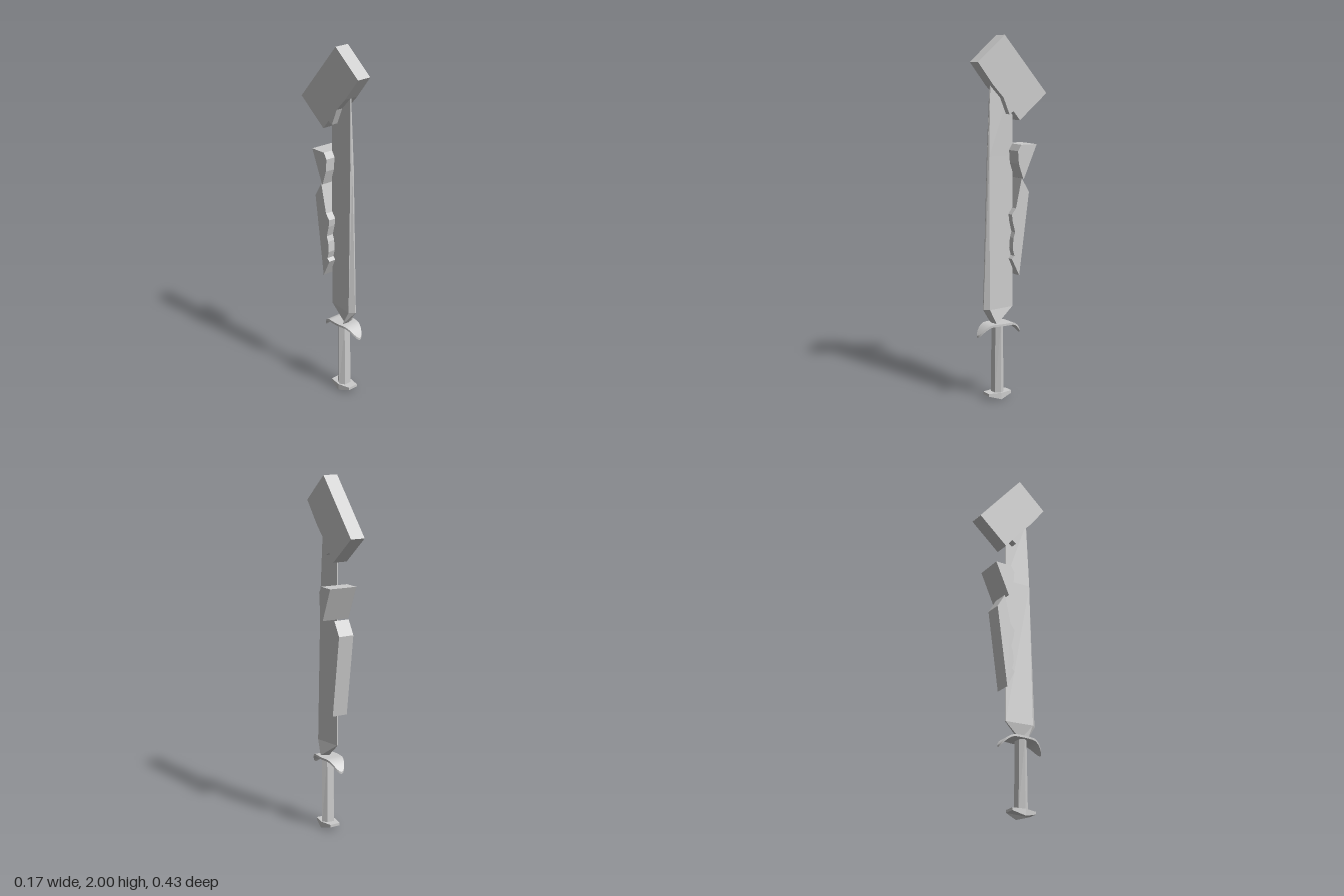
import * as THREE from 'three';

const MID_X = -0.02;   // centre plane of the sword
const GRIP_Z = 0.075;  // centre of grip and pommel

const material = new THREE.MeshStandardMaterial({ color: 0xcccccc, flatShading: true });
const smooth = new THREE.MeshStandardMaterial({ color: 0xcccccc });

function addMesh(group, name, geometry, mat = material) {
  const mesh = new THREE.Mesh(geometry, mat);
  mesh.name = name;
  group.add(mesh);
  return mesh;
}

// Skin a stack of rings (bottom to top, counter-clockwise seen from above) and cap both ends
function loft(rings) {
  const n = rings[0].length;
  const index = [];
  for (let i = 0; i < rings.length - 1; i++) {
    for (let j = 0; j < n; j++) {
      const a = i * n + j, b = i * n + (j + 1) % n;
      index.push(a, b, b + n, a, b + n, a + n);
    }
  }
  const top = (rings.length - 1) * n;
  for (let j = 1; j < n - 1; j++) {
    index.push(0, j + 1, j, top, top + j, top + j + 1);
  }
  const g = new THREE.BufferGeometry();
  g.setAttribute('position', new THREE.Float32BufferAttribute(rings.flat(2), 3));
  g.setIndex(index);
  const flat = g.toNonIndexed();
  flat.computeVertexNormals();
  return flat;
}

// Six-sided ring with two corners on the x axis; yAt gives the height from the z offset
function hexRing(halfX, faceX, halfZ, yAt) {
  return [[faceX, halfZ], [halfX, 0], [faceX, -halfZ], [-faceX, -halfZ], [-halfX, 0], [-faceX, halfZ]]
    .map(([x, z]) => [MID_X + x, yAt(z), GRIP_Z + z]);
}

// Side outline of [-z, y] points, extruded across x
function slab(outline, width) {
  const shape = new THREE.Shape(outline.map(([u, y]) => new THREE.Vector2(u, y)));
  const g = new THREE.ExtrudeGeometry(shape, { depth: width, bevelEnabled: false });
  g.translate(0, 0, -width / 2);
  g.rotateY(Math.PI / 2);
  return g;
}

export function createModel() {
  const group = new THREE.Group();
  group.name = 'brokenSword';

  // Blade: narrow front bevel, tapering to a thin back and towards the top
  const sections = [
    // y, front z, bevel z, back z, half thickness
    [0.425, 0.102, 0.098, 0.072, 0.035],
    [0.51, 0.164, 0.137, -0.022, 0.027],
    [1.35, 0.137, 0.131, -0.022, 0.013],
    [1.75, 0.119, 0.117, -0.022, 0.004],
  ];
  addMesh(group, 'blade', loft(sections.map(([y, front, bevel, back, t]) =>
    [[0.003, front], [t, bevel], [0.003, back], [-0.003, back], [-t, bevel], [-0.003, front]]
      .map(([x, z]) => [MID_X + x, y, z]))));

  // Guard: oval plate with both ends curling down
  const guard = new THREE.BoxGeometry(2, 0.012, 2, 8, 1, 24);
  const p = guard.attributes.position;
  for (let i = 0; i < p.count; i++) {
    const angle = p.getZ(i) * Math.PI / 2;
    const s = Math.sin(angle);
    const drop = 0.06 * Math.max(0, (Math.abs(s) - 0.4) / 0.6) ** 2;
    p.setXYZ(i,
      MID_X + p.getX(i) * 0.057 * Math.max(0.04, Math.cos(angle)),
      0.423 + p.getY(i) - drop,
      0.067 + 0.134 * s);
  }
  guard.computeVertexNormals();
  addMesh(group, 'guard', guard, smooth);

  // Grip and pommel: six-sided, the pommel ending in a shallow ridge
  addMesh(group, 'grip', loft([
    hexRing(0.04, 0.021, 0.029, () => 0.03),
    hexRing(0.04, 0.021, 0.024, () => 0.42),
  ]));
  addMesh(group, 'pommel', loft([
    hexRing(0.047, 0.03, 0.073, (z) => 0.022 * Math.abs(z) / 0.073),
    hexRing(0.047, 0.03, 0.073, () => 0.037),
  ]));

  // Block at the top, notched around the blade
  const head = addMesh(group, 'headBlock', slab([
    [-0.217, 1.857], [-0.122, 1.735], [-0.058, 1.667], [-0.021, 1.577],
    [0.005, 1.593], [0.046, 1.543], [0.217, 1.686], [-0.05, 2.0],
  ], 0.086));
  head.position.x = MID_X;

  // Chips broken off behind the blade, with ragged front edges
  const smallChip = addMesh(group, 'smallChip', slab([
    [0.021, 1.415], [0, 1.381], [0.005, 1.312], [0.032, 1.232], [0.037, 1.23], [0.117, 1.415],
  ], 0.162));
  smallChip.rotation.y = -0.035;

  const longChip = addMesh(group, 'longChip', slab([
    [0.058, 1.228], [0.021, 1.063], [-0.005, 1.03], [0, 0.99], [0.016, 0.93], [0.005, 0.9],
    [0, 0.84], [0.011, 0.8], [-0.005, 0.783], [0.042, 0.688], [0.105, 1.148],
  ], 0.092));
  longChip.position.x = MID_X - 0.003;

  return group;
}
